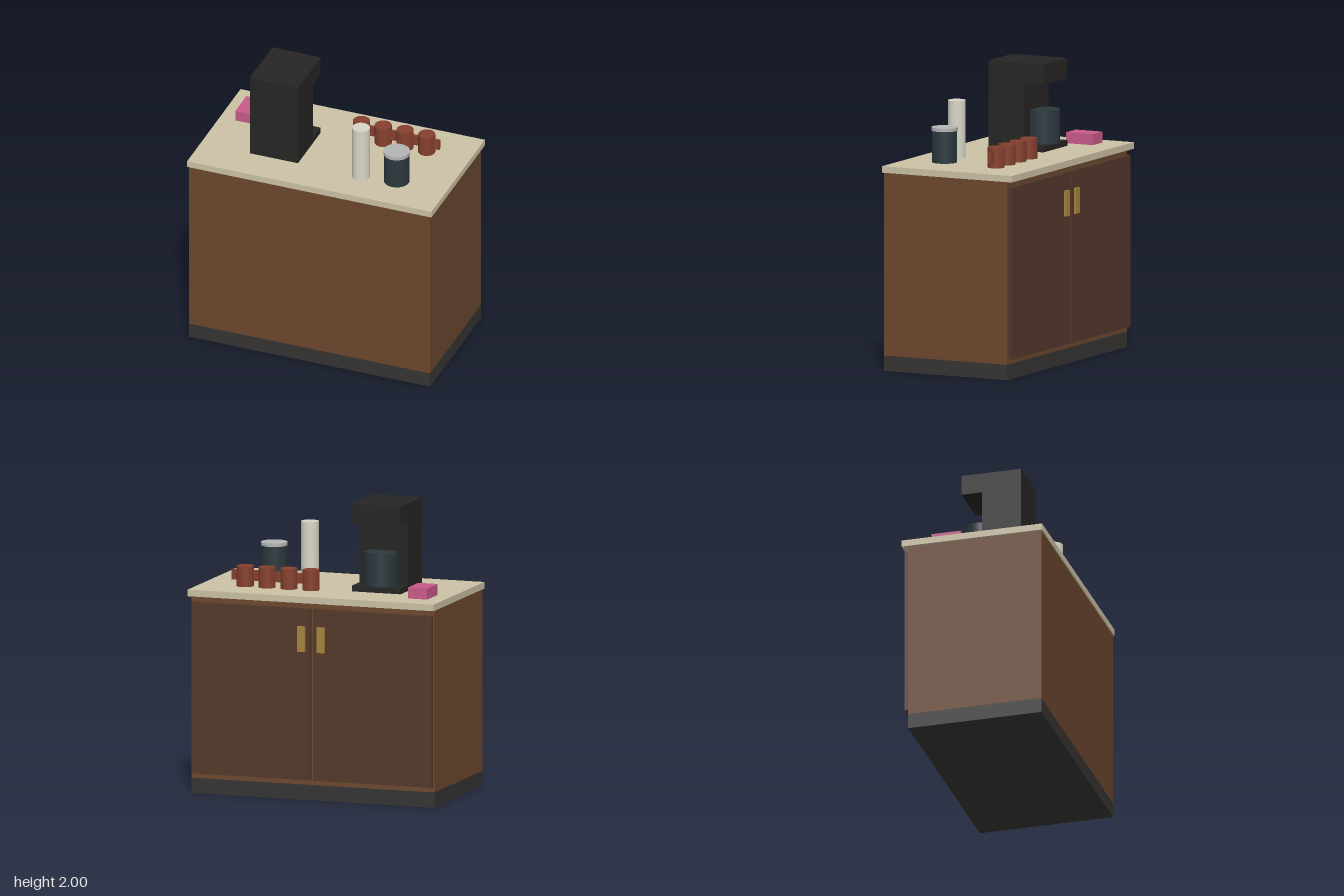
import * as THREE from 'three';

const paint = (color) => new THREE.MeshStandardMaterial({ color });

export function createModel() {
  const root = new THREE.Group();
  const wood = paint(0x6b472d), doorWood = paint(0x53382a), plinthGrey = paint(0x353433);
  const stone = paint(0xcbc1a5), brass = paint(0xa8833c), black = paint(0x262524);
  const glass = paint(0x2c383d), clay = paint(0x85402e), pink = paint(0xc85a88);
  const paper = paint(0xd8d4c6), steel = paint(0xb4b4b6);

  // Box given by its [min, max] range on each axis
  function box(name, mat, [x0, x1], [y0, y1], [z0, z1], parent = root) {
    const mesh = new THREE.Mesh(new THREE.BoxGeometry(x1 - x0, y1 - y0, z1 - z0), mat);
    mesh.position.set((x0 + x1) / 2, (y0 + y1) / 2, (z0 + z1) / 2);
    mesh.name = name;
    parent.add(mesh);
    return mesh;
  }

  // Upright cylinder between two heights
  function can(name, mat, r, x, z, [y0, y1], parent = root) {
    const mesh = new THREE.Mesh(new THREE.CylinderGeometry(r, r, y1 - y0, 32), mat);
    mesh.position.set(x, (y0 + y1) / 2, z);
    mesh.name = name;
    parent.add(mesh);
    return mesh;
  }

  // Cabinet
  box('plinth', plinthGrey, [-0.875, 0.875], [0, 0.105], [-0.45, 0.487]);
  box('cabinetBody', wood, [-0.875, 0.875], [0.105, 1.355], [-0.45, 0.487]);
  box('countertop', stone, [-0.887, 0.887], [1.355, 1.4], [-0.495, 0.495]);

  // Pair of doors with upright pulls on the back
  for (const s of [-1, 1]) {
    const door = new THREE.Group();
    door.name = s > 0 ? 'leftDoor' : 'rightDoor';
    const span = (a, b) => (s > 0 ? [a, b] : [-b, -a]);
    box('doorPanel', doorWood, span(0.01, 0.865), [0.14, 1.315], [-0.48, -0.45], door);
    box('doorHandle', brass, span(0.043, 0.097), [1.02, 1.195], [-0.497, -0.48], door);
    root.add(door);
  }

  // Coffee machine: C-shaped side profile extruded across its width
  const machine = new THREE.Group();
  machine.name = 'coffeeMachine';
  const profile = new THREE.Shape([
    [-0.245, 1.4], [0.175, 1.4], [0.175, 1.44], [0.03, 1.44],
    [0.03, 1.86], [0.175, 1.86], [0.175, 2], [-0.245, 2],
  ].map(([u, y]) => new THREE.Vector2(u, y)));
  const housing = new THREE.Mesh(
    new THREE.ExtrudeGeometry(profile, { depth: 0.35, bevelEnabled: false }), black);
  housing.rotation.y = Math.PI / 2; // profile u runs towards -z
  housing.position.x = -0.53;
  housing.name = 'machineHousing';
  machine.add(housing);
  can('carafe', glass, 0.11, -0.355, -0.087, [1.44, 1.67], machine);
  root.add(machine);

  // Row of mugs
  for (let i = 0; i < 4; i++) {
    const mug = new THREE.Group();
    mug.name = 'mug';
    can('mugBody', clay, 0.058, 0, 0, [1.4, 1.54], mug);
    box('mugHandle', clay, [0.05, 0.095], [1.44, 1.51], [-0.012, 0.012], mug);
    mug.position.set(0.102 + i * 0.158, 0, -0.212);
    root.add(mug);
  }

  // Other countertop items
  can('cupStack', paper, 0.06, 0.278, 0.245, [1.4, 1.79]);
  can('jar', glass, 0.086, 0.523, 0.21, [1.4, 1.617]);
  can('jarLid', steel, 0.09, 0.523, 0.21, [1.617, 1.64]);
  box('napkinBox', pink, [-0.774, -0.634], [1.4, 1.475], [-0.315, -0.11]);

  return root;
}
